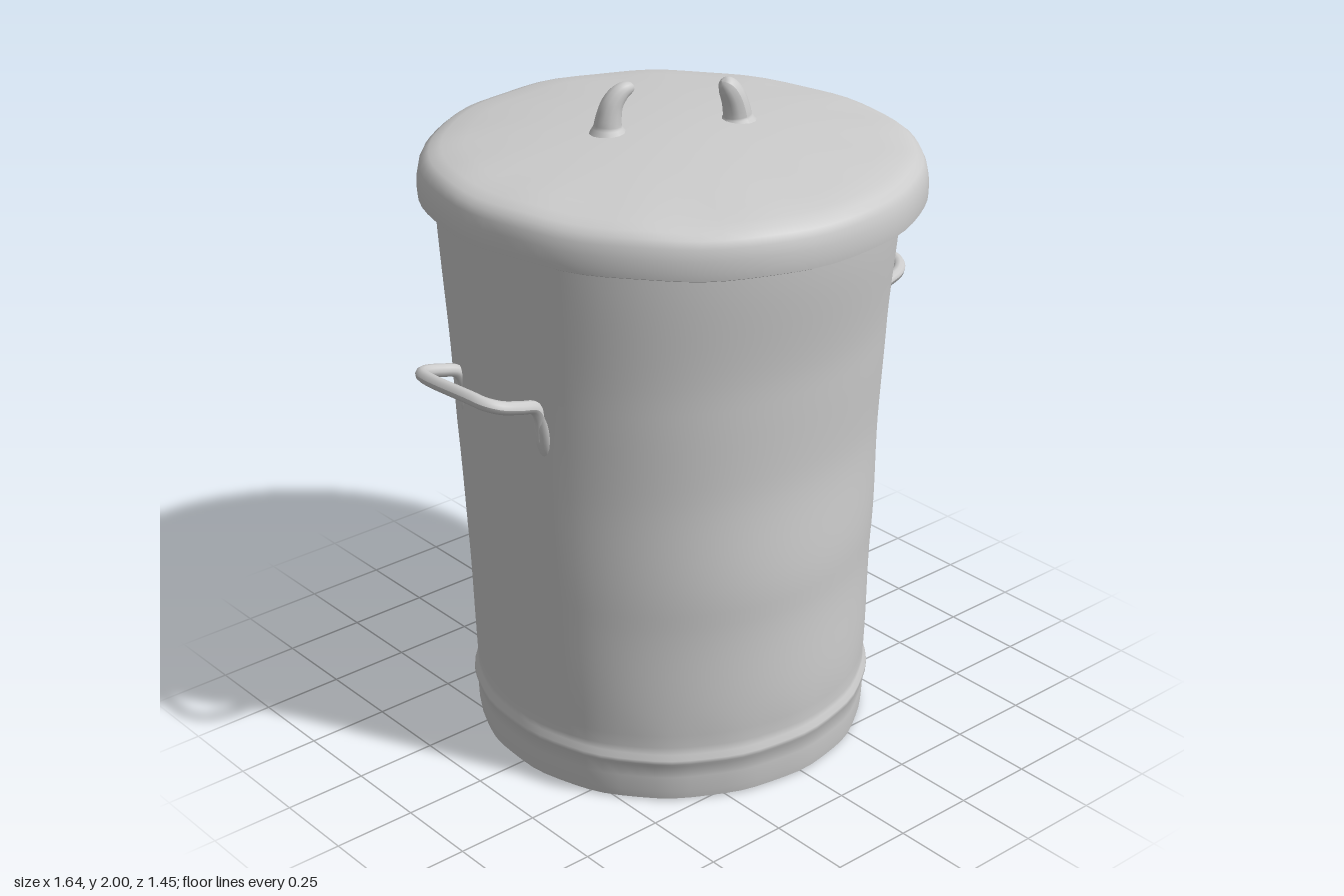
import * as THREE from 'three';
import { mergeVertices, toCreasedNormals } from 'three/addons/utils/BufferGeometryUtils.js';

const material = new THREE.MeshStandardMaterial({ color: 0xcccccc });
const v2 = (x, y) => new THREE.Vector2(x, y);
const v3 = (x, y, z) => new THREE.Vector3(x, y, z);

// Smooth lookup in a list of [position, value] pairs
function lookup(table, t) {
  for (let i = 1; i < table.length; i++) {
    const [a, va] = table[i - 1], [b, vb] = table[i];
    if (t <= b) return THREE.MathUtils.lerp(va, vb, THREE.MathUtils.smoothstep(t, a, b));
  }
  return table[table.length - 1][1];
}

// Lathe a profile, bend its vertices by a rule, and rebuild seamless normals
function bentLathe(points, rule) {
  let geo = new THREE.LatheGeometry(points, 72);
  geo.deleteAttribute('uv');
  geo.deleteAttribute('normal');
  geo = mergeVertices(geo, 1e-5);
  const pos = geo.attributes.position, p = v3(0, 0, 0);
  for (let i = 0; i < pos.count; i++) {
    p.fromBufferAttribute(pos, i);
    rule(p, Math.atan2(p.x, p.z));
    pos.setXYZ(i, p.x, p.y, p.z);
  }
  return toCreasedNormals(geo, 0.7);
}

// Tube along points, whose radius follows radius(t)
function taperedTube(points, radius, steps = 40, sides = 12) {
  const curve = new THREE.CatmullRomCurve3(points, false, 'centripetal');
  const geo = new THREE.TubeGeometry(curve, steps, 1, sides, false);
  const pos = geo.attributes.position, p = v3(0, 0, 0);
  for (let i = 0; i < pos.count; i++) {
    const t = Math.floor(i / (sides + 1)) / steps;
    const c = curve.getPointAt(t);
    p.fromBufferAttribute(pos, i).sub(c).multiplyScalar(radius(t)).add(c);
    pos.setXYZ(i, p.x, p.y, p.z);
  }
  geo.computeVertexNormals();
  return geo;
}

export function createModel() {
  const group = new THREE.Group();
  const add = (name, geo, parent = group) => {
    const mesh = new THREE.Mesh(geo, material);
    mesh.name = name;
    parent.add(mesh);
    return mesh;
  };

  // Tapered body with a recessed bottom, foot band and raised bead
  const wall = [[0.17, 0.594], [0.6, 0.62], [1, 0.645], [1.3, 0.661], [1.76, 0.688]];
  const profile = [
    v2(0, 0.05), v2(0.3, 0.05), v2(0.555, 0.05), v2(0.565, 0.01), v2(0.575, 0),
    v2(0.588, 0.005), v2(0.592, 0.03), v2(0.595, 0.08), v2(0.596, 0.12),
    v2(0.606, 0.133), v2(0.606, 0.145), v2(0.596, 0.16),
  ];
  for (let i = 0; i <= 40; i++) {
    const y = 0.18 + i * 0.0395;
    const k = wall.findIndex(([h]) => h >= y - 1e-6);
    const [a, ra] = wall[Math.max(k, 1) - 1], [b, rb] = wall[Math.max(k, 1)];
    profile.push(v2(THREE.MathUtils.mapLinear(y, a, b, ra, rb), y));
  }
  profile.push(v2(0, 1.76));
  // Squash of the wall towards the front and back
  const front = [[0, 0.985], [0.2, 0.98], [0.6, 0.935], [1, 0.885], [1.25, 0.89], [1.65, 0.925]];
  const back = [[0, 0.99], [0.2, 0.98], [0.6, 0.95], [1, 0.93], [1.25, 0.91], [1.65, 0.93]];
  add('body', bentLathe(profile, (p, a) => {
    const foot = 1 - THREE.MathUtils.smoothstep(p.y, 0.1, 0.3);
    const dent = 1 + 0.003 * Math.sin(5 * a + 4 * p.y) + foot * 0.003 * Math.sin(17 * a + 1);
    p.z *= lookup(p.z > 0 ? front : back, p.y) * dent;
    p.x = p.x * dent - 0.007;
    if (p.y > 0.1 && p.y < 0.17) p.y += 0.004 * Math.sin(3 * a);
  }));

  // Domed lid with an overhanging, slightly battered skirt
  const lidProfile = [
    [0, 1.74], [0.68, 1.74], [0.694, 1.72], [0.7, 1.685], [0.71, 1.675], [0.72, 1.68],
    [0.722, 1.7], [0.72, 1.735], [0.714, 1.765], [0.704, 1.785], [0.685, 1.8], [0.65, 1.812],
    [0.58, 1.822], [0.48, 1.835], [0.36, 1.846], [0.24, 1.855], [0.12, 1.861], [0, 1.863],
  ].map(([r, y]) => v2(r, y));
  add('lid', bentLathe(lidProfile, (p, a) => {
    const r = Math.hypot(p.x, p.z);
    const edge = THREE.MathUtils.smoothstep(r, 0.4, 0.7);
    const dent = 1 + edge * (0.003 * Math.sin(4 * a + 2) + 0.002 * Math.sin(11 * a));
    p.x *= dent;
    p.z *= dent;
    p.y += -0.013 * p.x + edge * (0.004 * Math.sin(3 * a) + 0.002 * Math.sin(13 * a));
  }));

  // Bent wire handles with flattened mounts on both sides
  for (const side of [1, -1]) {
    const handle = new THREE.Group();
    handle.name = side > 0 ? 'leftHandle' : 'rightHandle';
    const lift = side > 0 ? 0 : 0.012;
    const half = [
      [0.618, 1.12, 0.168], [0.624, 1.19, 0.17], [0.645, 1.225, 0.172], [0.7, 1.243, 0.175],
      [0.755, 1.258, 0.168], [0.787, 1.269, 0.14], [0.8, 1.275, 0.09],
    ];
    const path = [
      ...half.map(([x, y, z]) => v3(x * side, y + lift + 0.006, z)),
      ...half.slice().reverse().map(([x, y, z]) => v3(x * side, y + lift - 0.006, -z - 0.008)),
    ];
    add('handleWire', taperedTube(path, () => 0.019, 96, 10), handle);
    for (const z of [0.168, -0.176]) {
      const mount = add('handleMount', new THREE.SphereGeometry(1, 20, 14), handle);
      mount.scale.set(0.022, 0.085, 0.034);
      mount.position.set(0.614 * side, 1.145 + lift, z);
      mount.rotation.z = -0.06 * side;
    }
    group.add(handle);
  }

  // Two broken stubs of the lid handle, flared at the root and rounded at the tip
  const stub = (r0, r1) => (t) =>
    (THREE.MathUtils.lerp(r0, r1, t) + 0.02 * Math.max(0, 1 - t * 5)) * Math.sqrt(Math.max(0, 1 - t ** 10));
  add('rightLidStub', taperedTube([
    v3(-0.178, 1.84, -0.072), v3(-0.177, 1.89, -0.071), v3(-0.165, 1.94, -0.066),
    v3(-0.14, 1.972, -0.057), v3(-0.104, 1.986, -0.045),
  ], stub(0.045, 0.022)));
  add('leftLidStub', taperedTube([
    v3(0.182, 1.835, 0.07), v3(0.178, 1.88, 0.069), v3(0.166, 1.925, 0.066),
    v3(0.15, 1.955, 0.06), v3(0.132, 1.972, 0.054),
  ], stub(0.045, 0.03)));

  return group;
}
